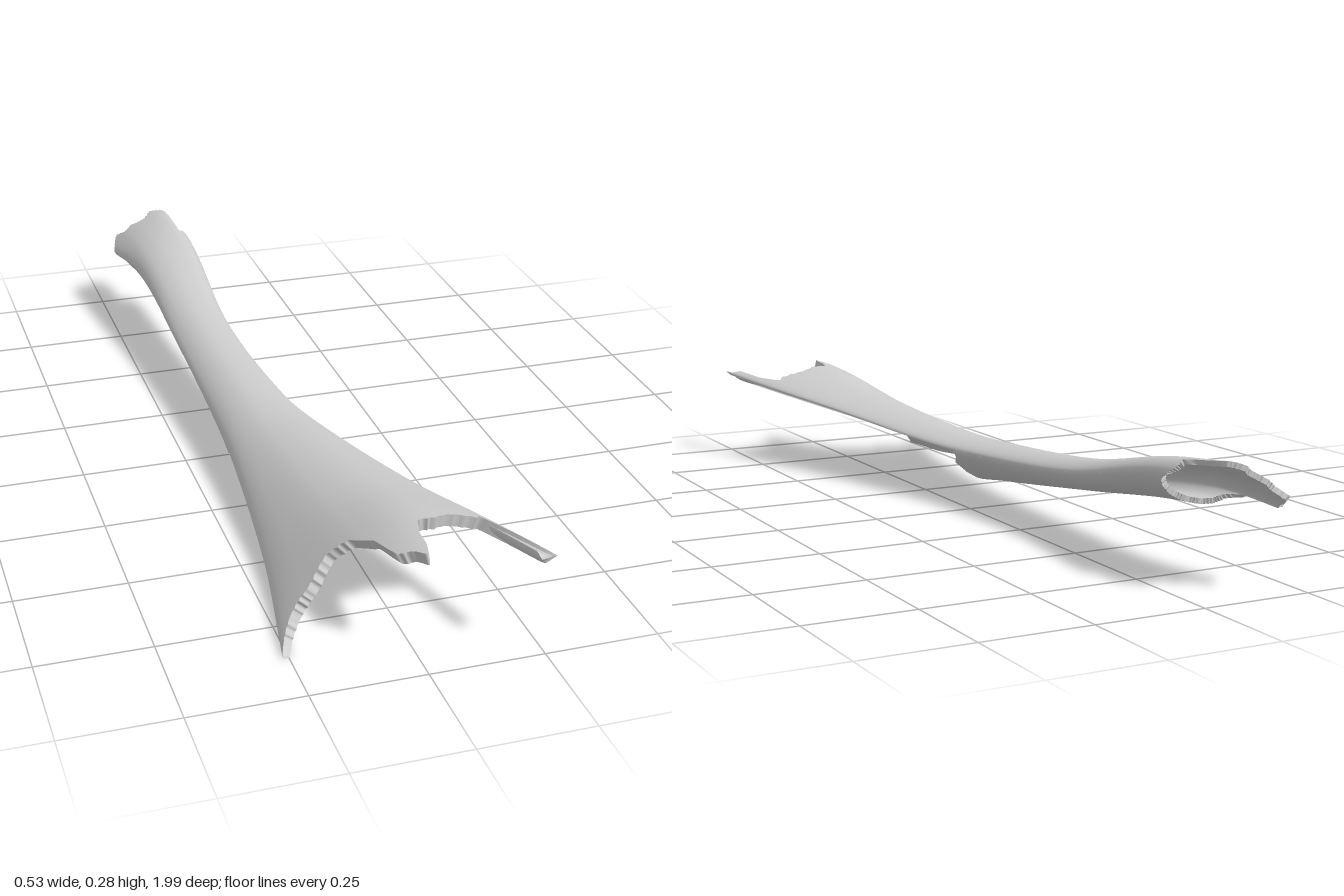
import * as THREE from 'three';
import { ParametricGeometry } from 'three/addons/geometries/ParametricGeometry.js';
import { mergeGeometries } from 'three/addons/utils/BufferGeometryUtils.js';

// Cross-sections: z, then 8 ring points (x, y): left edge, over the top, right edge, under the bottom
const STATIONS = [
  [-1.0, -0.227, 0.163, -0.193, 0.215, -0.135, 0.258, -0.073, 0.286, -0.035, 0.245, -0.05, 0.2, -0.1, 0.165, -0.17, 0.145],
  [-0.75, -0.19, 0.182, -0.17, 0.222, -0.12, 0.248, -0.06, 0.254, -0.032, 0.23, -0.05, 0.192, -0.1, 0.16, -0.16, 0.155],
  [-0.4, -0.175, 0.135, -0.155, 0.165, -0.115, 0.185, -0.065, 0.185, -0.035, 0.165, -0.05, 0.135, -0.09, 0.115, -0.145, 0.11],
  [0, -0.172, 0.092, -0.15, 0.13, -0.1, 0.158, -0.04, 0.16, 0, 0.14, -0.02, 0.103, -0.075, 0.067, -0.142, 0.06],
  [0.2, -0.18, 0.072, -0.155, 0.115, -0.095, 0.155, -0.02, 0.168, 0.04, 0.146, 0.012, 0.105, -0.07, 0.05, -0.153, 0.038],
  [0.55, -0.211, 0.033, -0.165, 0.1, -0.08, 0.175, 0.02, 0.205, 0.125, 0.177, 0.045, 0.135, -0.08, 0.11, -0.17, 0.035],
  [0.8, -0.252, 0.012, -0.19, 0.09, -0.07, 0.205, 0.05, 0.248, 0.206, 0.205, 0.09, 0.15, -0.07, 0.145, -0.2, 0.02],
  [1.0, -0.288, -0.012, -0.2, 0.09, -0.06, 0.225, 0.09, 0.258, 0.265, 0.228, 0.14, 0.16, -0.06, 0.17, -0.22, 0.01],
];

// Broken rims: pairs of ring position and z
const TOP_FRONT = [[0, 0.87], [0.3, 0.83], [0.6, 0.79], [1.2, 0.765], [1.5, 0.735], [1.85, 0.76], [2.1, 0.82],
  [2.2, 0.91], [2.4, 0.92], [2.5, 0.95], [2.6, 0.93], [2.7, 0.87], [2.85, 0.82], [3.1, 0.825], [3.3, 0.805],
  [3.6, 0.815], [3.7, 0.8], [3.75, 0.83], [3.85, 0.9], [4, 1], [4.1, 0.97]];
const TOP_BACK = [[0, -0.94], [0.5, -0.97], [0.8, -0.998], [1.1, -0.97], [1.5, -0.975], [2, -0.96], [2.4, -0.98],
  [2.7, -0.965], [2.95, -0.95], [3.05, -0.92], [3.1, -0.83], [3.5, -0.84], [4.1, -0.81]];
const BOTTOM_FRONT = [[4, 0.07], [4.6, 0.07], [5, 0.095], [6, 0.1], [6.5, 0.12], [8, 0.13]];
const BOTTOM_BACK = [[4, -0.81], [4.6, -0.78], [5.5, -0.77], [6.5, -0.79], [7.4, -0.8], [8, -0.86]];

function linear(table, u) {
  let i = 0;
  while (i < table.length - 2 && u > table[i + 1][0]) i++;
  const [a, b] = [table[i], table[i + 1]];
  return THREE.MathUtils.lerp(a[1], b[1], THREE.MathUtils.clamp((u - a[0]) / (b[0] - a[0]), 0, 1));
}

function hermite(p, q, mp, mq, t) {
  const t2 = t * t, t3 = t2 * t;
  return (2 * t3 - 3 * t2 + 1) * p + (t3 - 2 * t2 + t) * mp + (3 * t2 - 2 * t3) * q + (t3 - t2) * mq;
}

// Smoothly blended cross-section value k at z
function station(z, k) {
  const S = STATIONS, n = S.length;
  let i = 0;
  while (i < n - 2 && z > S[i + 1][0]) i++;
  const slope = (j) => {
    const a = S[Math.max(j - 1, 0)], b = S[Math.min(j + 1, n - 1)];
    return (b[k] - a[k]) / (b[0] - a[0]);
  };
  const h = S[i + 1][0] - S[i][0];
  return hermite(S[i][k], S[i + 1][k], slope(i) * h, slope(i + 1) * h, (z - S[i][0]) / h);
}

// Point on the closed ring: u runs 0..8
function ring(u, z) {
  const i = Math.floor(u), t = u - i;
  return [1, 2].map((c) => {
    const p = [-1, 0, 1, 2].map((d) => station(z, ((i + d + 8) % 8) * 2 + c));
    return hermite(p[1], p[2], (p[2] - p[0]) / 2, (p[3] - p[1]) / 2, t);
  });
}

// Wall point: depth 0 is the outside, 1 the inside; the wall thins towards the left edge
function wallPoint(u, z, depth, target) {
  const [x, y] = ring(u, z);
  const [x0, y0] = ring(u - 0.01, z), [x1, y1] = ring(u + 0.01, z);
  const len = Math.hypot(x1 - x0, y1 - y0) || 1;
  const flare = THREE.MathUtils.smoothstep(z, 0.2, 0.9) * THREE.MathUtils.smoothstep(u, -0.3, 0.8);
  const d = (depth * (0.012 + 0.016 * flare)) / len;
  target.set(x + (y1 - y0) * d, y - (x1 - x0) * d, z);
}

// Closed thick shell between two ring positions and two broken rims
function shell(name, uA, uB, back, front, material) {
  const U = (s) => uA + (uB - uA) * s;
  const jag = (u) => 0.003 * Math.sin(u * 19) + 0.003 * Math.sin(u * 33 + 1);
  const Z = (u, t) => THREE.MathUtils.lerp(linear(back, u) + Math.abs(jag(u)), linear(front, u) - Math.abs(jag(u)), t);
  const surf = (fn, a, b) => new ParametricGeometry((s, t, v) => {
    const [u, along, depth] = fn(s, t);
    wallPoint(u, Z(u, along), depth, v);
  }, a, b);
  const geometry = mergeGeometries([
    surf((s, t) => [U(s), 1 - t, 0], 160, 50), // outside
    surf((s, t) => [U(s), t, 1], 160, 50), // inside
    surf((s, t) => [U(s), 1, 1 - t], 160, 1), // front rim
    surf((s, t) => [U(s), 0, t], 160, 1), // back rim
    surf((s, t) => [uA, s, 1 - t], 50, 1), // side edges
    surf((s, t) => [uB, s, t], 50, 1),
  ]);
  const mesh = new THREE.Mesh(geometry, material);
  mesh.name = name;
  return mesh;
}

export function createModel() {
  const group = new THREE.Group();
  group.name = 'boneFragment';
  const bone = new THREE.MeshStandardMaterial({ color: 0xcccccc, side: THREE.DoubleSide });
  // Upper wall flares into the front plate and ends in a lip at the back
  group.add(shell('upperWall', 0, 4.1, TOP_BACK, TOP_FRONT, bone));
  // Lower wall closes the hollow shaft
  group.add(shell('lowerWall', 4.1, 8, BOTTOM_BACK, BOTTOM_FRONT, bone));
  return group;
}
